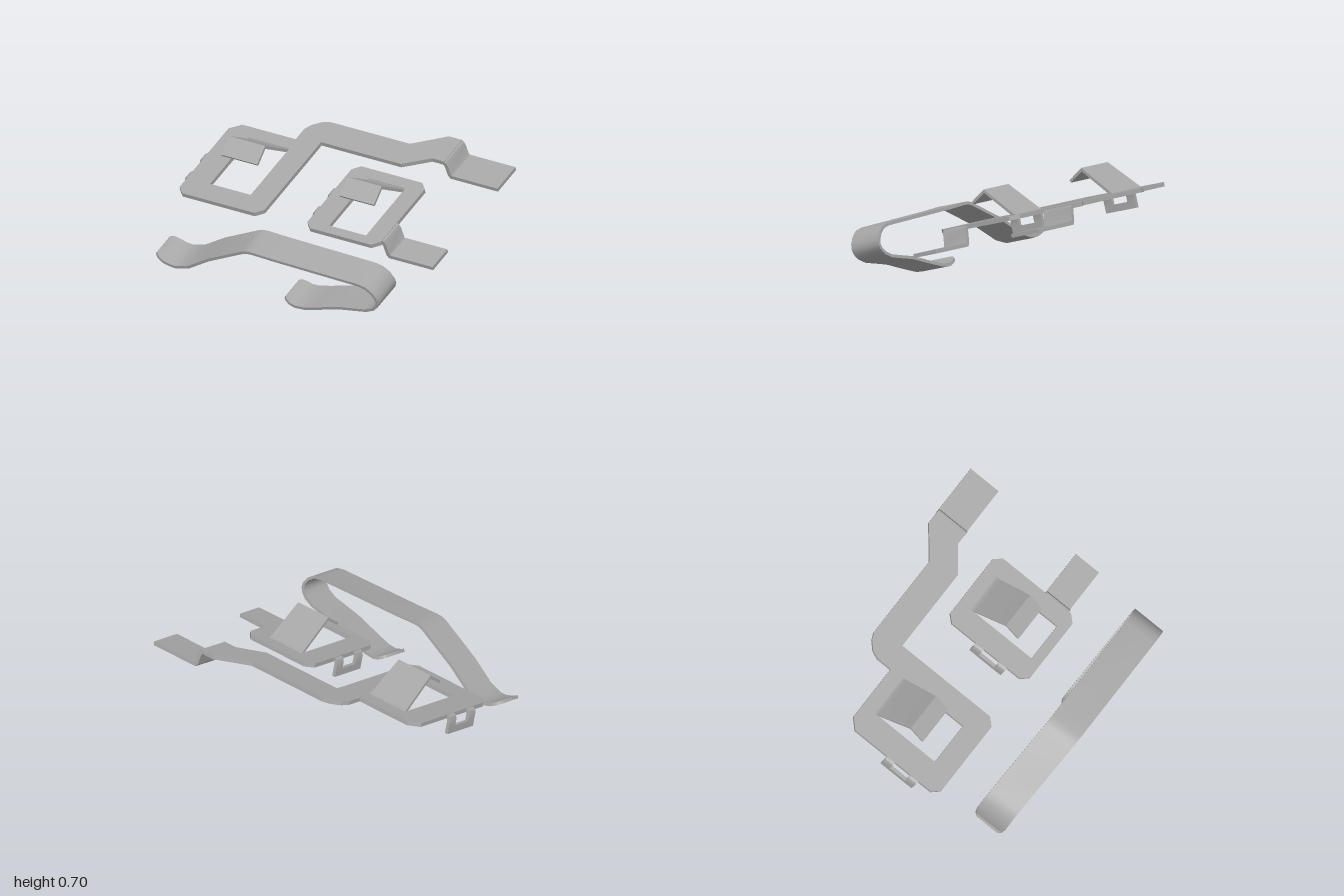
import * as THREE from 'three';
import { toCreasedNormals } from 'three/addons/utils/BufferGeometryUtils.js';

const TILT = Math.PI / 12;
const THICK = 0.03;

// Bent sheet strip: path points [x, y, halfWidth], width along z
function strip(path, thick, crease = 0.6) {
  const pos = [], idx = [];
  const dir = (a, b) => new THREE.Vector2(b[0] - a[0], b[1] - a[1]).normalize();
  const last = path.length - 1;
  path.forEach((p, i) => {
    const d0 = dir(path[Math.max(i - 1, 0)], path[Math.max(i, 1)]);
    const d1 = dir(path[Math.min(i, last - 1)], path[Math.min(i + 1, last)]);
    const t = d0.clone().add(d1).normalize();
    const h = thick / 2 / Math.max(t.dot(d0), 0.5);
    const nx = -t.y * h, ny = t.x * h, w = p[2];
    pos.push(p[0] + nx, p[1] + ny, -w, p[0] + nx, p[1] + ny, w,
      p[0] - nx, p[1] - ny, w, p[0] - nx, p[1] - ny, -w);
  });
  for (let i = 0; i < last; i++) {
    for (let k = 0; k < 4; k++) {
      const a = i * 4 + k, b = i * 4 + (k + 1) % 4;
      idx.push(a, b, b + 4, a, b + 4, a + 4);
    }
  }
  const e = last * 4;
  idx.push(3, 2, 1, 3, 1, 0, e, e + 1, e + 2, e, e + 2, e + 3);
  const geo = new THREE.BufferGeometry();
  geo.setAttribute('position', new THREE.Float32BufferAttribute(pos, 3));
  geo.setIndex(idx);
  return toCreasedNormals(geo.toNonIndexed(), crease);
}

// Flat plate from an outline in (x, z) as seen from above, with one window
function plate(outline, hole) {
  const c = Math.cos(TILT);
  const pts = (list) => list.map(([x, z]) => new THREE.Vector2(x, -z / c));
  const shape = new THREE.Shape(pts(outline));
  shape.holes.push(new THREE.Path(pts(hole)));
  const geo = new THREE.ExtrudeGeometry(shape, { depth: THICK, bevelEnabled: false });
  return geo.rotateX(-Math.PI / 2).translate(0, -THICK / 2, 0);
}

export function createModel() {
  const model = new THREE.Group();
  const steel = new THREE.MeshStandardMaterial({ color: 0xa6a6a6 });
  steel.name = 'grey metal';

  // All pieces lie in one plane tilted towards the front
  const sheet = new THREE.Group();
  sheet.name = 'tiltedAssembly';
  sheet.rotation.x = TILT;
  sheet.position.y = 0.459;
  model.add(sheet);

  const add = (name, geo, parent = sheet, x = 0, y = 0, z = 0) => {
    const mesh = new THREE.Mesh(geo, steel);
    mesh.name = name;
    mesh.position.set(x, y, z);
    parent.add(mesh);
    return mesh;
  };

  // Large contact plate with its cranked arm
  add('largePlate', plate([
    [-0.97, 0.27], [-0.92, 0.32], [-0.35, 0.32], [-0.30, 0.27],
    [-0.30, -0.465], [0.33, -0.465], [0.50, -0.59], [0.595, -0.59],
    [0.595, -0.825], [0.49, -0.825], [0.28, -0.665], [-0.35, -0.665],
    [-0.40, -0.645], [-0.455, -0.595], [-0.48, -0.54], [-0.48, -0.43],
    [-0.90, -0.43], [-0.97, -0.365],
  ], [[-0.79, 0.17], [-0.79, -0.33], [-0.47, -0.33], [-0.47, 0.17]]));

  // Small contact plate
  add('smallPlate', plate([
    [0.04, 0.27], [0.09, 0.32], [0.57, 0.32], [0.62, 0.27],
    [0.62, -0.30], [0.57, -0.35], [0.09, -0.35], [0.04, -0.30],
  ], [[0.20, 0.25], [0.20, -0.26], [0.49, -0.26], [0.49, 0.25]]));

  // Stepped terminals on the left side
  const terminal = (name, x, drop, z, w) => add(name, strip([
    [x - 0.02, 0, w], [x + 0.004, -0.004, w], [x + 0.013, -0.02, w],
    [x + 0.028, drop + 0.015, w], [x + 0.038, drop, w], [1, drop, w],
  ], 0.027), sheet, 0, 0, z);
  terminal('rearTerminal', 0.593, -0.112, -0.73, 0.121);
  terminal('frontTerminal', 0.62, -0.118, 0.164, 0.1);

  // Raised spring tongues with a folded lip
  const tongue = (name, x, z, w0, w1) => {
    const mesh = add(name, strip([
      [-0.01, 0, w0], [0.012, 0.004, w0], [0.035, 0.022, w0 - 0.003],
      [0.244, 0.211, w1], [0.362, 0.147, w1],
    ], 0.02), sheet, x, 0, z);
    mesh.rotation.y = -Math.PI / 2;
  };
  tongue('largeTongue', -0.63, -0.345, 0.16, 0.143);
  tongue('smallTongue', 0.345, -0.267, 0.145, 0.135);

  // Hanging loops on the right edges: two curved legs and a bar
  const loop = (name, x) => {
    const group = new THREE.Group();
    group.name = name;
    group.position.x = x;
    sheet.add(group);
    for (const z of [-0.067, 0.135]) {
      add('loopLeg', strip([
        [0.03, 0, 0.034], [0, 0, 0.034], [-0.011, -0.005, 0.034],
        [-0.018, -0.022, 0.034], [-0.018, -0.072, 0.034],
      ], 0.024), group, 0, 0, z);
    }
    add('loopBar', new THREE.BoxGeometry(0.024, 0.05, 0.27), group, -0.018, -0.096, 0.034);
  };
  loop('largePlateLoop', -0.97);
  loop('smallPlateLoop', 0.04);

  // Hooked ribbon spring in front, with rounded ends
  const W = 0.121;
  add('ribbonSpring', strip([
    [-0.86, -0.112, 0.088], [-0.85, -0.12, 0.102], [-0.83, -0.133, 0.115],
    [-0.80, -0.150, W], [-0.75, -0.166, W], [-0.70, -0.171, W], [-0.65, -0.157, W],
    [-0.59, -0.135, W], [-0.42, -0.022, W], [-0.13, 0.131, W],
    [-0.10, 0.143, W], [-0.05, 0.147, W], [0.10, 0.140, W],
    [0.78, 0.124, W], [0.84, 0.112, W], [0.885, 0.078, W],
    [0.912, 0.035, W], [0.918, 0.003, W], [0.907, -0.028, W],
    [0.875, -0.062, W], [0.81, -0.093, W], [0.60, -0.135, W],
    [0.40, -0.199, W], [0.30, -0.229, W], [0.23, -0.234, W], [0.19, -0.219, W],
    [0.165, -0.206, 0.112], [0.15, -0.196, 0.1], [0.145, -0.192, 0.088],
  ], 0.021, 0.9), sheet, 0, 0, 0.721);

  return model;
}
